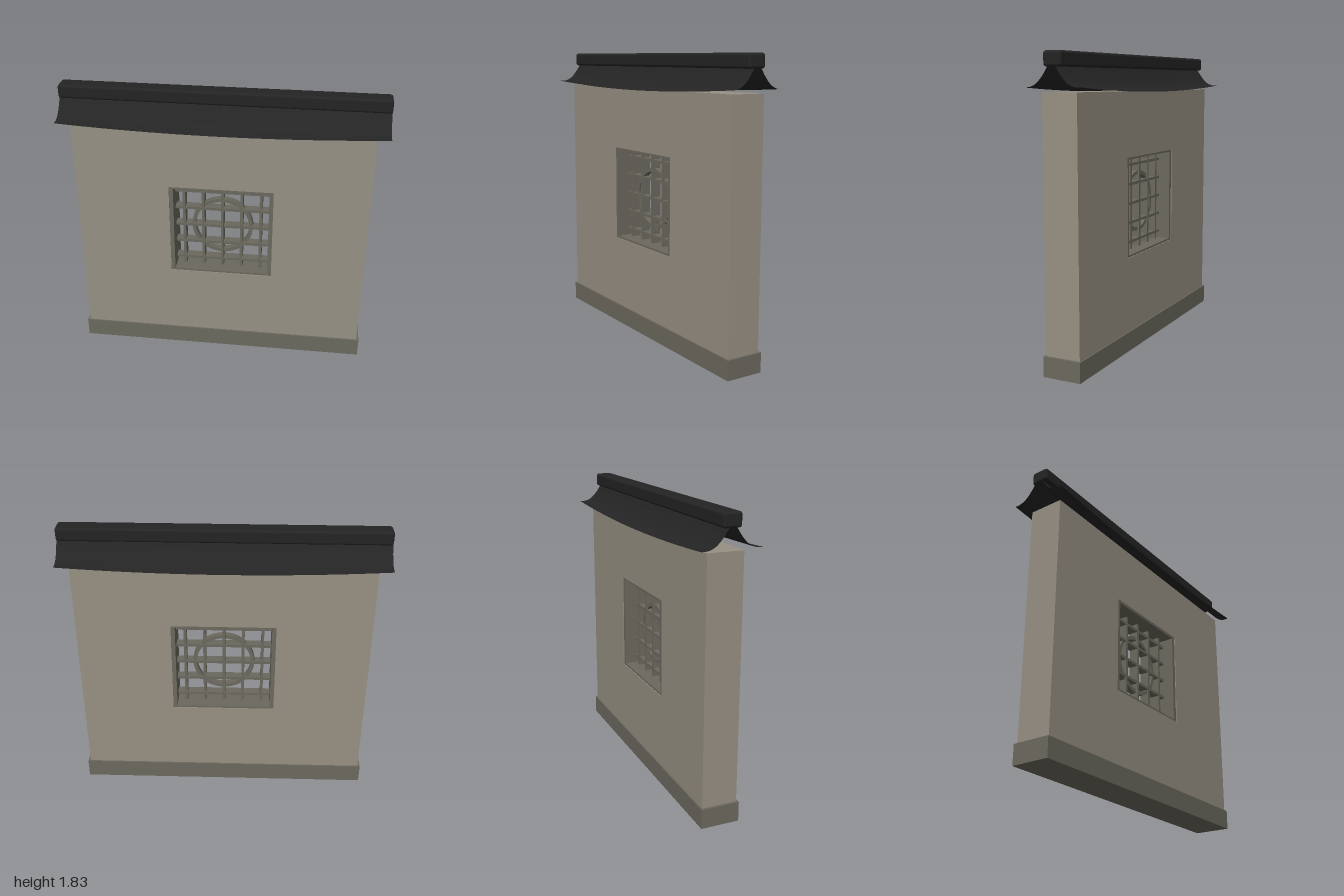
import * as THREE from 'three';
import { RoundedBoxGeometry } from 'three/addons/geometries/RoundedBoxGeometry.js';

const mat = (name, color, side = THREE.FrontSide) => {
  const m = new THREE.MeshStandardMaterial({ color, side });
  m.name = name;
  return m;
};

export function createModel() {
  const group = new THREE.Group();
  group.name = 'gardenWall';
  const plaster = mat('plaster', 0x979083);
  const stone = mat('stone', 0x6b695e);
  const tile = mat('roofTile', 0x242424, THREE.DoubleSide);

  const add = (name, geometry, material, x = 0, y = 0, z = 0) => {
    const mesh = new THREE.Mesh(geometry, material);
    mesh.name = name;
    mesh.position.set(x, y, z);
    group.add(mesh);
    return mesh;
  };
  const box = (name, w, h, d, material, x, y, z = 0) =>
    add(name, new THREE.BoxGeometry(w, h, d), material, x, y, z);
  const rect = (target, x0, y0, x1, y1) => {
    target.moveTo(x0, y0);
    target.lineTo(x1, y0);
    target.lineTo(x1, y1);
    target.lineTo(x0, y1);
    target.closePath();
    return target;
  };
  const slab = (shape, depth) =>
    new THREE.ExtrudeGeometry(shape, { depth, bevelEnabled: false, curveSegments: 32 }).translate(0, 0, -depth / 2);

  // Wall with a square window opening, on a slightly wider plinth
  const wall = rect(new THREE.Shape(), -0.925, 0.12, 0.925, 1.61);
  wall.holes.push(rect(new THREE.Path(), -0.33, 0.59, 0.33, 1.21));
  add('wall', slab(wall, 0.22), plaster);
  box('plinth', 1.88, 0.122, 0.24, stone, 0, 0.061);

  // Window lining, set just behind the wall faces
  const lining = rect(new THREE.Shape(), -0.33, 0.59, 0.33, 1.21);
  lining.holes.push(rect(new THREE.Path(), -0.304, 0.603, 0.304, 1.197));
  add('windowFrame', slab(lining, 0.21), stone);

  // Lattice bars and the ring in the middle
  for (let i = -2; i <= 2; i++) {
    box('verticalBar', 0.018, 0.6, 0.06, stone, i * 0.124, 0.9);
    box('horizontalBar', 0.61, 0.018, 0.058, stone, 0, 0.9 + i * 0.124);
  }
  const ring = new THREE.Shape().absarc(0, 0, 0.198, 0, Math.PI * 2);
  ring.holes.push(new THREE.Path().absarc(0, 0, 0.175, 0, Math.PI * 2, true));
  add('latticeRing', slab(ring, 0.04), stone, 0, 0.9);

  // Ridge cap
  add('ridgeCap', new RoundedBoxGeometry(2, 0.085, 0.112, 2, 0.016), tile, 0, 1.788);

  // Swept eaves: concave section whose lower edge rises toward both ends
  const section = new THREE.CatmullRomCurve3([
    [1.75, 0.022], [1.69, 0.062], [1.647, 0.1], [1.62, 0.14], [1.604, 0.181],
  ].map(([y, z]) => new THREE.Vector3(0, y, z)));
  for (const side of [1, -1]) {
    const sheet = new THREE.PlaneGeometry(2, 1, 24, 12);
    const pos = sheet.attributes.position;
    for (let i = 0; i < pos.count; i++) {
      const x = pos.getX(i);
      const t = 0.5 - pos.getY(i);
      const p = section.getPoint(t);
      pos.setXYZ(i, x * side, p.y + 0.032 * x * x * t * t, p.z * side);
    }
    sheet.computeVertexNormals();
    add(side > 0 ? 'frontEave' : 'backEave', sheet, tile);
  }
  return group;
}
